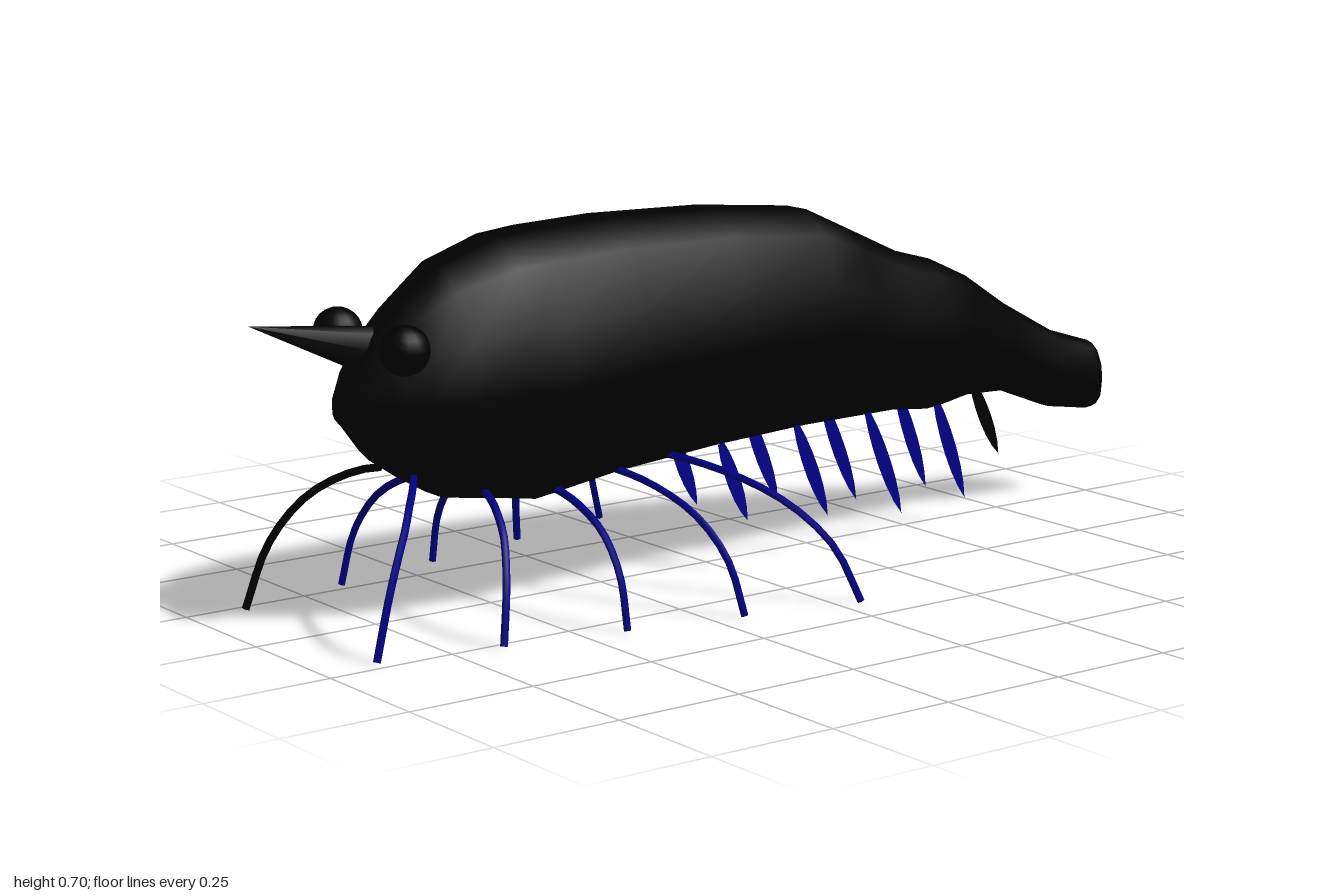
import * as THREE from 'three';

const mat = (name, color) => {
  const m = new THREE.MeshStandardMaterial({ color, side: THREE.DoubleSide });
  m.name = name;
  return m;
};

// Body cross-sections from nose to tail: z, top, bottom, half width
const SECTIONS = [
  [0.82, 0.44, 0.38, 0.022], [0.8, 0.478, 0.36, 0.042], [0.75, 0.54, 0.3, 0.08],
  [0.69, 0.595, 0.26, 0.112], [0.62, 0.647, 0.22, 0.14], [0.5, 0.685, 0.203, 0.16],
  [0.42, 0.693, 0.19, 0.166], [0.25, 0.699, 0.215, 0.163], [0, 0.692, 0.235, 0.155],
  [-0.22, 0.67, 0.245, 0.144], [-0.33, 0.62, 0.245, 0.13], [-0.45, 0.565, 0.245, 0.115],
  [-0.54, 0.54, 0.235, 0.106], [-0.64, 0.495, 0.25, 0.084], [-0.75, 0.425, 0.245, 0.06],
  [-0.88, 0.355, 0.195, 0.053], [-0.985, 0.322, 0.178, 0.046], [-1, 0.314, 0.182, 0.043],
];

// Half outline of a section, top to bottom, fuller below; mirrored into a ring
const HALF = [[0.21, 1], [0.62, 0.8], [0.94, 0.35], [1, -0.09], [0.91, -0.62], [0.6, -0.9], [0.2, -1]];
const RING = [...HALF, ...HALF.map(([x, y]) => [-x, y]).reverse()];
const SIDES = RING.length;

// Lofted body with closed, softly shaded ends
function bodyGeometry() {
  const pos = [], idx = [];
  for (const [z, top, bottom, w] of SECTIONS) {
    for (const [x, y] of RING) pos.push(x * w, (top + bottom) / 2 + (y * (top - bottom)) / 2, z);
  }
  const nose = pos.length / 3, tail = nose + 1;
  const last = (SECTIONS.length - 1) * SIDES;
  for (const [z, top, bottom] of [SECTIONS[0], SECTIONS[SECTIONS.length - 1]]) {
    pos.push(0, (top + bottom) / 2, z);
  }
  for (let i = 0; i < SIDES; i++) {
    const j = (i + 1) % SIDES;
    for (let s = 0; s < last; s += SIDES) {
      const a = s + i, b = s + j, c = a + SIDES, d = b + SIDES;
      idx.push(a, b, c, b, d, c);
    }
    idx.push(nose, j, i, tail, last + i, last + j);
  }
  const g = new THREE.BufferGeometry();
  g.setAttribute('position', new THREE.Float32BufferAttribute(pos, 3));
  g.setIndex(idx);
  g.computeVertexNormals();
  return g;
}

// Flat leaf-shaped swimming leg in the side plane, from a base to a tip (z, y)
function leafGeometry(z0, y0, z1, y1) {
  const dir = new THREE.Vector2(z1 - z0, y1 - y0);
  const n = new THREE.Vector2(-dir.y, dir.x).normalize().multiplyScalar(0.018);
  const at = (t, k) => [-(z0 + dir.x * t + n.x * k), y0 + dir.y * t + n.y * k];
  const s = new THREE.Shape();
  s.moveTo(...at(0, 0.4));
  s.bezierCurveTo(...at(0.3, 1.1), ...at(0.75, 1.1), ...at(1, 0));
  s.bezierCurveTo(...at(0.75, -1.1), ...at(0.3, -1.1), ...at(0, -0.4));
  return new THREE.ShapeGeometry(s, 6).rotateY(Math.PI / 2);
}

// Walking leg that runs outward, then bends down to the ground
const BENDS = [[0, 1, 0], [0.2, 0.97, 0.12], [0.44, 0.89, 0.3], [0.65, 0.776, 0.47],
  [0.8, 0.62, 0.64], [0.92, 0.4, 0.81], [1, 0.004, 1]];
function walkingLegGeometry(side, x, y, z, fx, fz) {
  const points = BENDS.map(([u, v, w]) =>
    new THREE.Vector3(side * (x + (fx - x) * u), y * v, z + (fz - z) * w));
  return new THREE.TubeGeometry(new THREE.CatmullRomCurve3(points), 12, 0.0073, 6);
}

export function createModel() {
  const model = new THREE.Group();
  model.name = 'shrimp';
  const black = mat('shellBlack', 0x000000);
  const blue = mat('legBlue', 0x00008b);
  const add = (name, geometry, material) => {
    const m = new THREE.Mesh(geometry, material);
    m.name = name;
    model.add(m);
    return m;
  };

  add('body', bodyGeometry(), black);

  // Pointed horn between the eyes
  const horn = add('horn', new THREE.ConeGeometry(1, 0.26, 8).scale(0.022, 1, 0.045), black);
  horn.rotation.x = Math.PI / 2 - 0.28;
  horn.position.set(0, 0.539, 0.875);

  // Walking legs: base x, y, z and foot x, z
  const walking = [
    [0.055, 0.273, 0.7, 0.225, 0.89], [0.09, 0.235, 0.57, 0.272, 0.655],
    [0.09, 0.222, 0.42, 0.32, 0.42], [0.09, 0.238, 0.28, 0.367, 0.19],
    [0.09, 0.25, 0.16, 0.415, -0.045],
  ];
  // Paired swimming legs: x, base z, base y, tip z, tip y
  const swimming = [
    [0.08, 0.025, 0.25, -0.04, 0.09], [0.078, -0.16, 0.26, -0.24, 0.07],
    [0.07, -0.345, 0.26, -0.435, 0.045], [0.06, -0.53, 0.26, -0.61, 0.05],
  ];

  for (const side of [1, -1]) {
    const label = side > 0 ? 'left' : 'right';

    // Eyes on short stalks
    add(label + 'Eye', new THREE.SphereGeometry(0.046, 16, 12), black)
      .position.set(side * 0.112, 0.52, 0.75);
    const stalk = add(label + 'EyeStalk', new THREE.CylinderGeometry(0.016, 0.016, 0.06, 8), black);
    stalk.rotation.z = Math.PI / 2;
    stalk.position.set(side * 0.08, 0.515, 0.74);

    // Only the right front walking leg is dark
    walking.forEach((leg, i) => {
      const material = side < 0 && i === 0 ? black : blue;
      add(label + 'WalkingLeg' + (i + 1), walkingLegGeometry(side, ...leg), material);
    });

    swimming.forEach(([x, ...ends], i) => {
      add(label + 'SwimmingLeg' + (i + 1), leafGeometry(...ends), blue).position.x = side * x;
    });
  }

  // Single dark swimming leg nearest the tail
  add('rearSwimmingLeg', leafGeometry(-0.71, 0.26, -0.785, 0.1), black).position.x = -0.035;
  return model;
}
